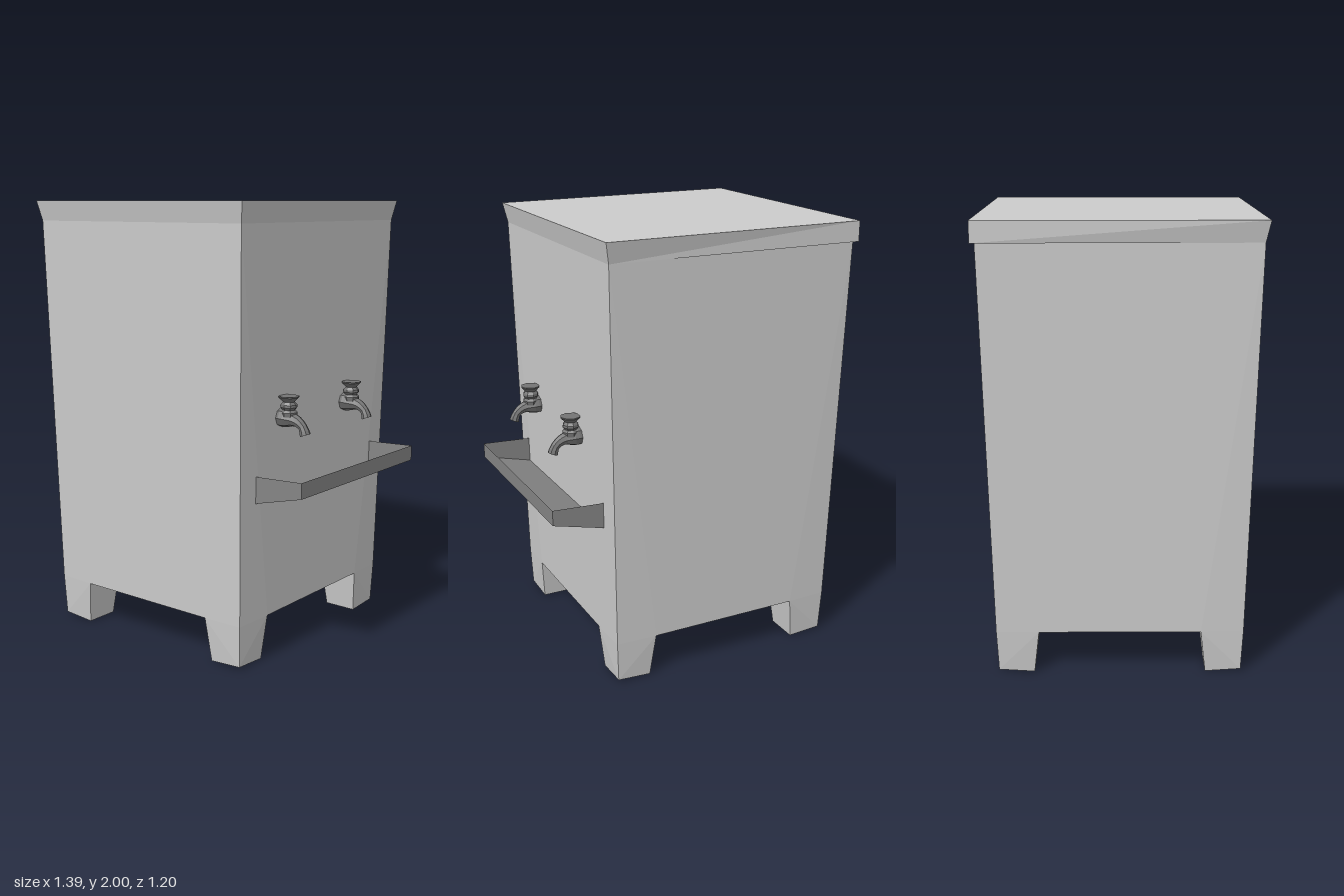
import * as THREE from 'three';

const paint = (color, side = THREE.FrontSide) =>
  new THREE.MeshStandardMaterial({ color, side, flatShading: true });

// Mesh from convex polygons, each a counter-clockwise list of points
function facets(name, polygons, material) {
  const pos = [];
  for (const p of polygons)
    for (let i = 1; i < p.length - 1; i++) pos.push(...p[0], ...p[i], ...p[i + 1]);
  const geo = new THREE.BufferGeometry();
  geo.setAttribute('position', new THREE.Float32BufferAttribute(pos, 3));
  geo.computeVertexNormals();
  const mesh = new THREE.Mesh(geo, material);
  mesh.name = name;
  return mesh;
}

// One side of the tapered body, with its half of the corner legs
function bodySide(material) {
  const T = s => [0.58 * s, 1.91, 0.58];
  const M = s => [0.357 * s, 0.2, 0.553];
  const C = s => [0.546 * s, 0.2, 0.546];
  const F = s => [0.538 * s, 0.012, 0.538];
  const G = s => [0.38 * s, 0, 0.535];
  const I = s => [0.357 * s, 0.2, 0.357];
  const J = s => [0.38 * s, 0, 0.38];
  const polygons = [[T(-1), M(-1), M(1), T(1)]];
  for (const s of [-1, 1]) {
    const half = [
      [T(s), M(s), C(s)],
      [M(s), F(s), C(s)],
      [M(s), G(s), F(s)],
      [M(s), I(s), J(s), G(s)],
      [G(s), J(s), F(s)],
    ];
    polygons.push(...(s > 0 ? half : half.map(p => p.reverse())));
  }
  // Quarter of the underside
  polygons.push([[0, 0.2, 0], I(1), M(1), M(-1), I(-1)]);
  return facets('bodySide', polygons, material);
}

// Flared lid; its back corner hangs straight down past the body
function makeLid(material) {
  const corners = [[-1, 1], [1, 1], [1, -1], [-1, -1]];
  const rimSize = [0.58, 0.58, 0.58, 0.598];
  const ring = (y, size) => corners.map(([x, z], i) => [x * size(i), y, z * size(i)]);
  const top = ring(2, () => 0.598);
  const rim = ring(1.91, i => rimSize[i]);
  const neck = ring(1.91, () => 0.58);
  const polygons = [top];
  for (let i = 0; i < 4; i++) {
    const j = (i + 1) % 4;
    polygons.push([rim[i], rim[j], top[j], top[i]]);
  }
  polygons.push([neck[3], rim[3], rim[2]], [neck[3], rim[0], rim[3]]);
  return facets('lid', polygons, material);
}

// Open drip tray of thin sheet with a sloping floor
function makeTray(material) {
  const section = z => [[0.45, 0.73, z], [0.695, 0.79, z], [0.695, 0.86, z], [0.45, 0.85, z]];
  const a = section(0.455), b = section(-0.453);
  return facets('dripTray', [
    a, b.slice().reverse(),
    [a[0], b[0], b[1], a[1]],
    [a[1], b[1], b[2], a[2]],
  ], material);
}

// Curved spout with a changing radius, topped by a flared handle
function makeTap(material) {
  const tap = new THREE.Group();
  tap.name = 'tap';
  const path = new THREE.CatmullRomCurve3([
    [0.44, 1.085], [0.5, 1.083], [0.55, 1.073], [0.58, 1.05], [0.592, 1.018],
  ].map(([x, y]) => new THREE.Vector3(x, y, 0)));
  const radii = [0.038, 0.042, 0.044, 0.042, 0.036, 0.029, 0.025, 0.022, 0.02, 0.022, 0.024];
  const rings = radii.length - 1, sides = 8;
  const geo = new THREE.TubeGeometry(path, rings, 1, sides, false);
  const pos = geo.attributes.position, v = new THREE.Vector3();
  for (let i = 0; i < pos.count; i++) {
    const ring = Math.floor(i / (sides + 1));
    const centre = path.getPointAt(ring / rings);
    v.fromBufferAttribute(pos, i).sub(centre).multiplyScalar(radii[ring]).add(centre);
    pos.setXYZ(i, v.x, v.y, v.z);
  }
  const spout = new THREE.Mesh(geo, material);
  spout.name = 'spout';

  const end = new THREE.Mesh(new THREE.CircleGeometry(0.024, sides), material);
  end.name = 'spoutEnd';
  end.position.copy(path.getPointAt(1));
  end.lookAt(end.position.clone().add(path.getTangentAt(1)));

  const profile = [[0.034, 1.08], [0.038, 1.11], [0.028, 1.12], [0.037, 1.132],
    [0.036, 1.143], [0.026, 1.155], [0.045, 1.175], [0.045, 1.18], [0, 1.18]];
  const handle = new THREE.Mesh(
    new THREE.LatheGeometry(profile.map(([x, y]) => new THREE.Vector2(x, y)), 8), material);
  handle.name = 'handle';
  handle.position.x = 0.505;
  tap.add(spout, end, handle);
  return tap;
}

export function createModel() {
  const model = new THREE.Group();
  model.name = 'waterDispenser';
  const shell = paint(0xcccccc);
  const dark = paint(0x858585, THREE.DoubleSide);
  const metal = paint(0x747474, THREE.DoubleSide);

  // Cabinet: four equal sides and a lid
  const cabinet = new THREE.Group();
  cabinet.name = 'cabinet';
  cabinet.position.x = -0.102;
  for (let i = 0; i < 4; i++) {
    const side = bodySide(shell);
    side.rotation.y = i * Math.PI / 2;
    cabinet.add(side);
  }
  cabinet.add(makeLid(shell));
  model.add(cabinet, makeTray(dark));

  // Two taps above the tray
  for (const z of [0.283, -0.211]) {
    const tap = makeTap(metal);
    tap.position.z = z;
    model.add(tap);
  }
  return model;
}
